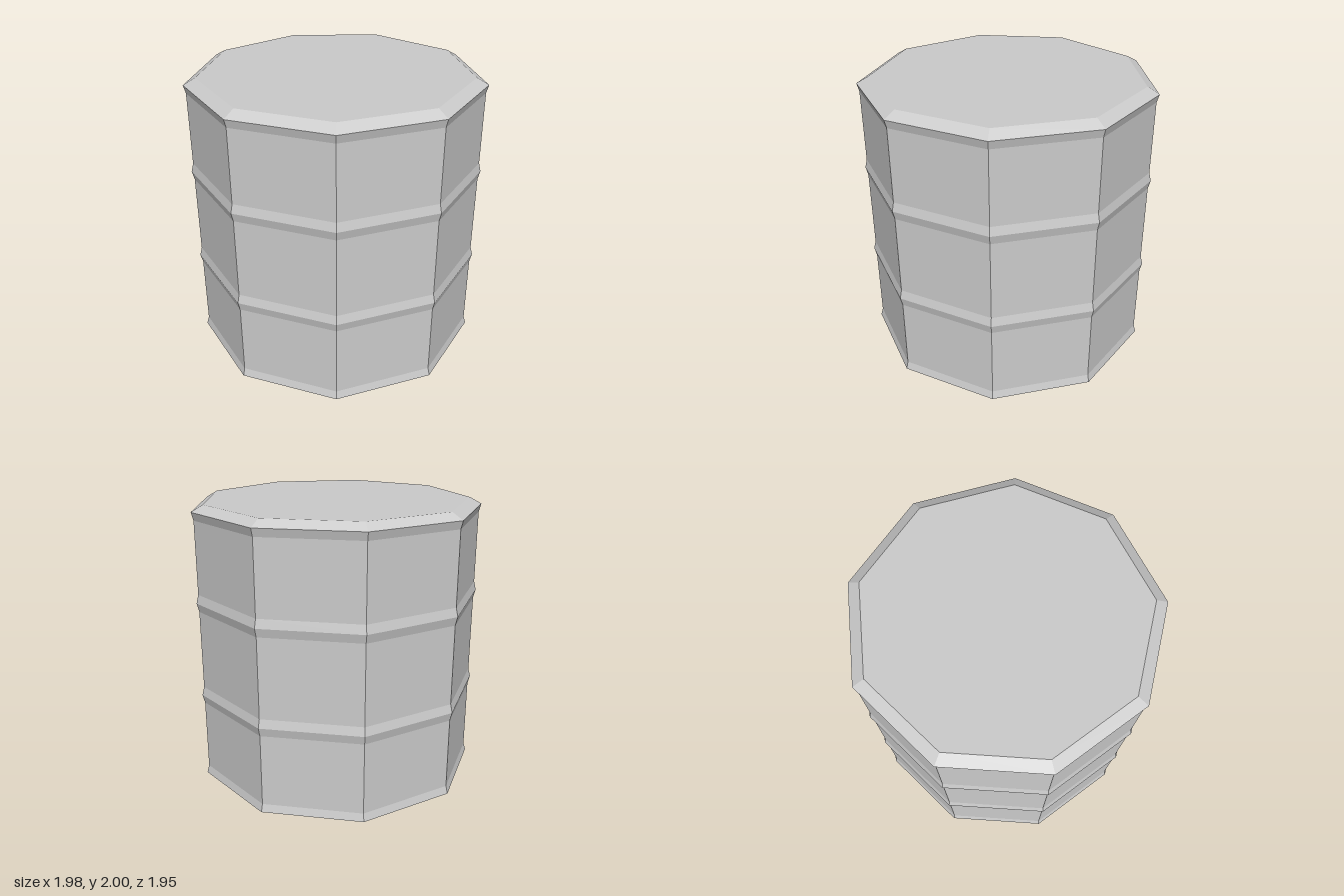
import * as THREE from 'three';

const SIDES = 9;
const RIM = 1.007;   // widest radius, at rims and hoops
const WALL = 0.992;  // plain wall
const CAP = 0.926;   // flat ends inside the bevel

export function createModel() {
  const group = new THREE.Group();
  group.name = 'barrel';
  const material = new THREE.MeshStandardMaterial({ color: 0xcccccc, flatShading: true });

  // Half profile from the bottom centre to the top centre
  const profile = [[0, 0], [CAP, 0], [RIM, 0.045], [WALL, 0.1]];
  // Two raised hoops around the wall
  for (const y of [0.663, 1.337]) {
    profile.push([WALL, y - 0.06], [RIM, y], [WALL, y + 0.06]);
  }
  profile.push([WALL, 1.9], [RIM, 1.955], [CAP, 2], [0, 2]);

  // Nine-sided body with one corner pointing to the back
  const body = new THREE.Mesh(
    new THREE.LatheGeometry(profile.map(([r, y]) => new THREE.Vector2(r, y)), SIDES, Math.PI),
    material
  );
  body.name = 'barrelBody';
  body.position.z = RIM * (1 - Math.cos(Math.PI / SIDES)) / 2; // centre the odd-sided outline
  group.add(body);

  return group;
}
